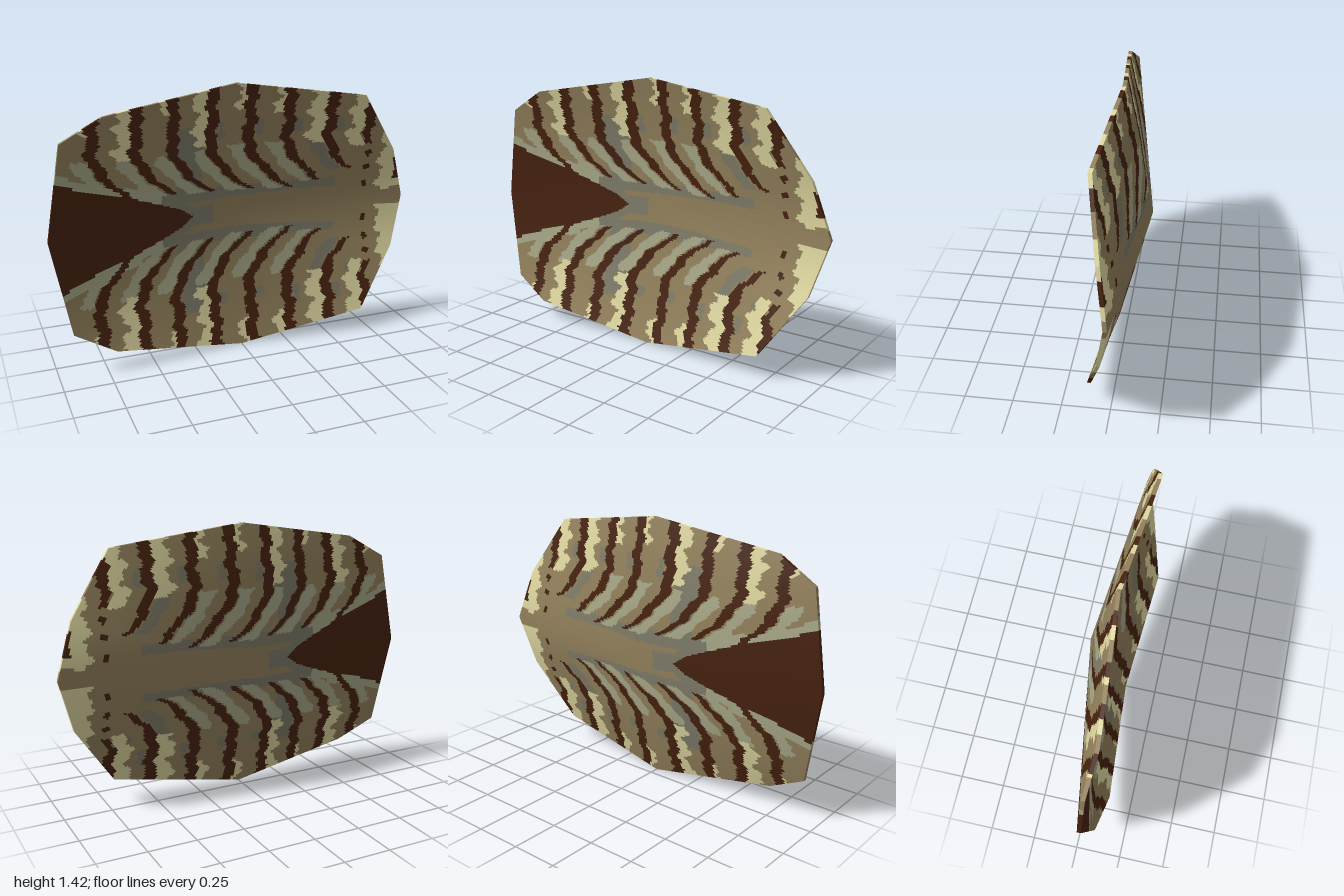
import * as THREE from 'three';

const MID = 0.72; // height of the mirror line of the pattern
const THICK = 0.02;
const RINGS = 76;

const COLOURS = { tan: 0x96845e, darkBrown: 0x48230f, cream: 0xe4dca4, sage: 0xacad8c, grey: 0x827f6c };

// Rim corners of the front sheet, clockwise from the left end
const RIM = [
  [-1, 0.71, 0.05], [-0.92, 1.2, 0.07], [-0.71, 1.32, 0.09], [-0.01, 1.43, 0.03],
  [0.69, 1.335, 0.09], [0.91, 1.01, 0.03], [1, 0.73, -0.01], [0.92, 0.45, 0.04],
  [0.7, 0.125, 0.125], [0, 0.005, 0.07], [-0.7, 0.11, 0.125], [-0.91, 0.22, 0.09],
].map((p) => new THREE.Vector3(...p));
const CENTRE = new THREE.Vector3(0, 0.715, -0.11);

// Piecewise linear lookup
function lookup(table, x) {
  if (x <= table[0][0]) return table[0][1];
  for (let i = 1; i < table.length; i++) {
    const [x0, y0] = table[i - 1], [x1, y1] = table[i];
    if (x <= x1) return y0 + (y1 - y0) * (x - x0) / (x1 - x0);
  }
  return table[table.length - 1][1];
}

// Dark wedge half-height along x, and the sideways sweep of each rib by distance from the middle
const WEDGE = [[-1, 0.3], [-0.94, 0.28], [-0.74, 0.2], [-0.58, 0.16], [-0.42, 0.1], [-0.29, 0.05], [-0.22, 0], [-0.21, -1]];
const SWEEP = [[0.08, 0.31], [0.13, 0.23], [0.18, 0.165], [0.24, 0.1], [0.32, 0.035], [0.4, 0], [0.5, 0.01], [0.71, 0]];

// Ribs: x at the rim, inner end, width of the cream patch, inner end of the cream patch
const RIBS = [
  [-0.77, 0.15, 0.02, 0.5], [-0.55, 0.14, 0.075, 0.36], [-0.355, 0.13, 0.035, 0.57], [-0.145, 0.12, 0.065, 0.38],
  [0.065, 0.11, 0.035, 0.57], [0.275, 0.14, 0.045, 0.55], [0.505, 0.2, 0.085, 0.36], [0.73, 0.34, 0.08, 0.32],
];

function colourAt(x, y) {
  const v = Math.abs(y - MID), side = y > MID ? 1 : 0;
  const wobble = 0.008 * Math.sin(v * 47 + x * 5 + side * 2) + 0.005 * Math.sin(v * 101 + side);
  const wedge = lookup(WEDGE, x);
  if (v < wedge) return 'darkBrown';

  // Pale right end
  if (x > 0.9 && side && v > 0.12 && v < 0.28 && x > 0.925 + wobble) return 'darkBrown';
  if (x > 0.84 + wobble * 2 && v > (side ? 0.07 : 0.03) && v < 0.4) return 'cream';
  if (x > 0.86 && x < 0.92 && v < 0.09) return v > 0.05 ? 'cream' : 'tan';

  // Row of dark dots continuing the last rib
  for (const dot of [0.1, 0.2, 0.28]) if (Math.hypot(x - 0.76, v - dot) < 0.018) return 'darkBrown';

  const sweep = lookup(SWEEP, v);
  for (const [rx, inner] of RIBS) {
    const d = x - rx - sweep - wobble;
    const half = 0.031 * Math.min(1, 0.55 + (v - inner) * 3);
    if (v > inner && Math.abs(d) < half) return 'darkBrown';
  }
  for (const [rx, inner, width, from] of RIBS) {
    const d = x - rx - sweep + 0.028 - wobble;
    if (v > from + wobble && d < 0 && d > -width + wobble * 1.5) return 'cream';
  }
  // Sage bands along the wedge and inside each rib
  if (x < -0.4 && v < wedge + 0.05 + wobble) return 'sage';
  for (const [rx, inner] of RIBS) {
    const d = x - rx - sweep + 0.075;
    if (v > inner && v < 0.37 + wobble && Math.abs(d) < 0.037 + wobble) return rx > 0.4 ? 'grey' : 'sage';
  }
  // Grey shading beside the middle and between the inner ribs
  if (x > -0.42 && x < -0.1 && v < Math.max(wedge, 0) + 0.05) return 'grey';
  if (x > -0.4 && x < 0.58 && v > 0.085 + 0.03 * Math.max(0, x) + wobble && v < 0.15) return 'grey';
  if (x > -0.32 && x < -0.18 && v > 0.15 && v < 0.5 + wobble) return 'grey';
  for (const [rx] of RIBS.slice(3, 7)) {
    if (Math.hypot(x - rx - 0.06, (v - 0.46) * 0.6) < 0.025 + wobble) return 'grey';
  }
  return 'tan';
}

// Gathers triangles by colour and turns them into one mesh per colour
function makeSurface(name, materials, fill) {
  const data = {};
  fill((colour, ...corners) => {
    const d = (data[colour] ??= { position: [], normal: [] });
    for (const { p, n } of corners) {
      d.position.push(p.x, p.y, p.z);
      d.normal.push(n.x, n.y, n.z);
    }
  });
  const group = new THREE.Group();
  group.name = name;
  for (const [colour, d] of Object.entries(data)) {
    const geometry = new THREE.BufferGeometry();
    for (const key of ['position', 'normal']) geometry.setAttribute(key, new THREE.Float32BufferAttribute(d[key], 3));
    const mesh = new THREE.Mesh(geometry, materials[colour]);
    mesh.name = `${name} ${colour}`;
    group.add(mesh);
  }
  return group;
}

export function createModel() {
  const materials = {};
  for (const [name, color] of Object.entries(COLOURS)) {
    materials[name] = new THREE.MeshStandardMaterial({ color });
    materials[name].name = name;
  }

  // Smooth normals of the shallow dish
  const count = RIM.length;
  const faces = RIM.map((a, i) => {
    const b = RIM[(i + 1) % count];
    return b.clone().sub(CENTRE).cross(a.clone().sub(CENTRE));
  });
  const rimNormals = RIM.map((_, i) => faces[i].clone().add(faces[(i + count - 1) % count]).normalize());
  const centreNormal = faces.reduce((sum, f) => sum.add(f), new THREE.Vector3()).normalize();

  // Rim split into short steps
  const steps = [];
  RIM.forEach((a, i) => {
    const j = (i + 1) % count, n = Math.ceil(a.distanceTo(RIM[j]) / 0.017);
    for (let k = 0; k < n; k++) {
      steps.push({ p: a.clone().lerp(RIM[j], k / n), n: rimNormals[i].clone().lerp(rimNormals[j], k / n) });
    }
  });
  const next = (i) => steps[(i + 1) % steps.length];
  const back = new THREE.Vector3(0, 0, -THICK);

  // Patterned sheet, from the centre out to the rim
  const sheet = (isBack) => (add) => {
    const at = (s, t) => {
      const p = CENTRE.clone().lerp(s.p, t), n = centreNormal.clone().lerp(s.n, t).normalize();
      return isBack ? { p: p.add(back), n: n.negate() } : { p, n };
    };
    steps.forEach((s, i) => {
      for (let r = 0; r < RINGS; r++) {
        const a = at(s, r / RINGS), b = at(next(i), r / RINGS);
        const c = at(next(i), (r + 1) / RINGS), d = at(s, (r + 1) / RINGS);
        const m = a.p.clone().add(c.p).multiplyScalar(0.5);
        const colour = colourAt(m.x, m.y);
        if (isBack) {
          add(colour, a, d, c);
          if (r) add(colour, a, c, b);
        } else {
          add(colour, a, c, d);
          if (r) add(colour, a, b, c);
        }
      }
    });
  };

  // Narrow edge joining the two sheets
  const edge = (add) => steps.forEach((s, i) => {
    const e = next(i), dir = e.p.clone().sub(s.p);
    const n = new THREE.Vector3(-dir.y, dir.x, 0).normalize();
    const v = (p) => ({ p, n });
    const [a, b, c, d] = [v(s.p), v(e.p), v(e.p.clone().add(back)), v(s.p.clone().add(back))];
    const colour = colourAt(s.p.x * 0.99, MID + (s.p.y - MID) * 0.99);
    add(colour, a, b, c);
    add(colour, a, c, d);
  });

  const model = new THREE.Group();
  model.name = 'patternedDish';
  model.add(
    makeSurface('frontSheet', materials, sheet(false)),
    makeSurface('backSheet', materials, sheet(true)),
    makeSurface('rimEdge', materials, edge),
  );
  return model;
}
